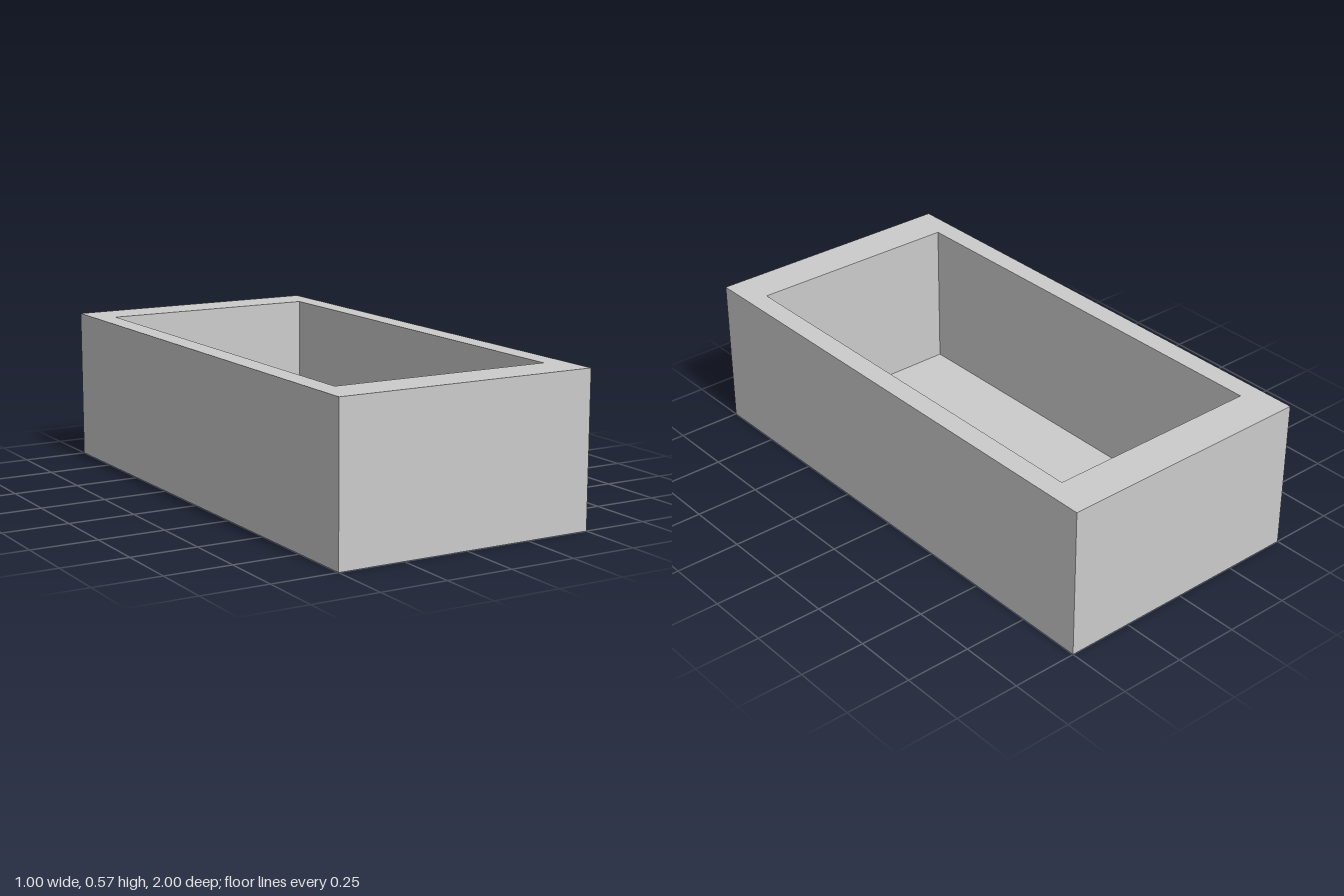
import * as THREE from 'three';

const W = 1, L = 2, H = 0.573;        // outer size
const INNER_W = 0.84, INNER_L = 1.68; // opening
const FLOOR = 0.003;                  // thin base sheet

// Counter-clockwise rectangle centred on the origin
function rect(Type, w, l) {
  return new Type([[-1, -1], [1, -1], [1, 1], [-1, 1]]
    .map(([x, y]) => new THREE.Vector2(x * w / 2, y * l / 2)));
}

export function createModel() {
  const group = new THREE.Group();
  group.name = 'openTrough';
  const material = new THREE.MeshStandardMaterial({ color: 0xcccccc, flatShading: true });

  // Walls: rectangular ring extruded upwards
  const ring = rect(THREE.Shape, W, L);
  ring.holes.push(rect(THREE.Path, INNER_W, INNER_L));
  const wallGeometry = new THREE.ExtrudeGeometry(ring, { depth: H - FLOOR, bevelEnabled: false });
  wallGeometry.rotateX(-Math.PI / 2).translate(0, FLOOR, 0);
  const walls = new THREE.Mesh(wallGeometry, material);
  walls.name = 'walls';

  // Floor: thin sheet closing the underside
  const floor = new THREE.Mesh(new THREE.BoxGeometry(W, FLOOR, L), material);
  floor.name = 'floor';
  floor.position.y = FLOOR / 2;

  group.add(walls, floor);
  return group;
}
